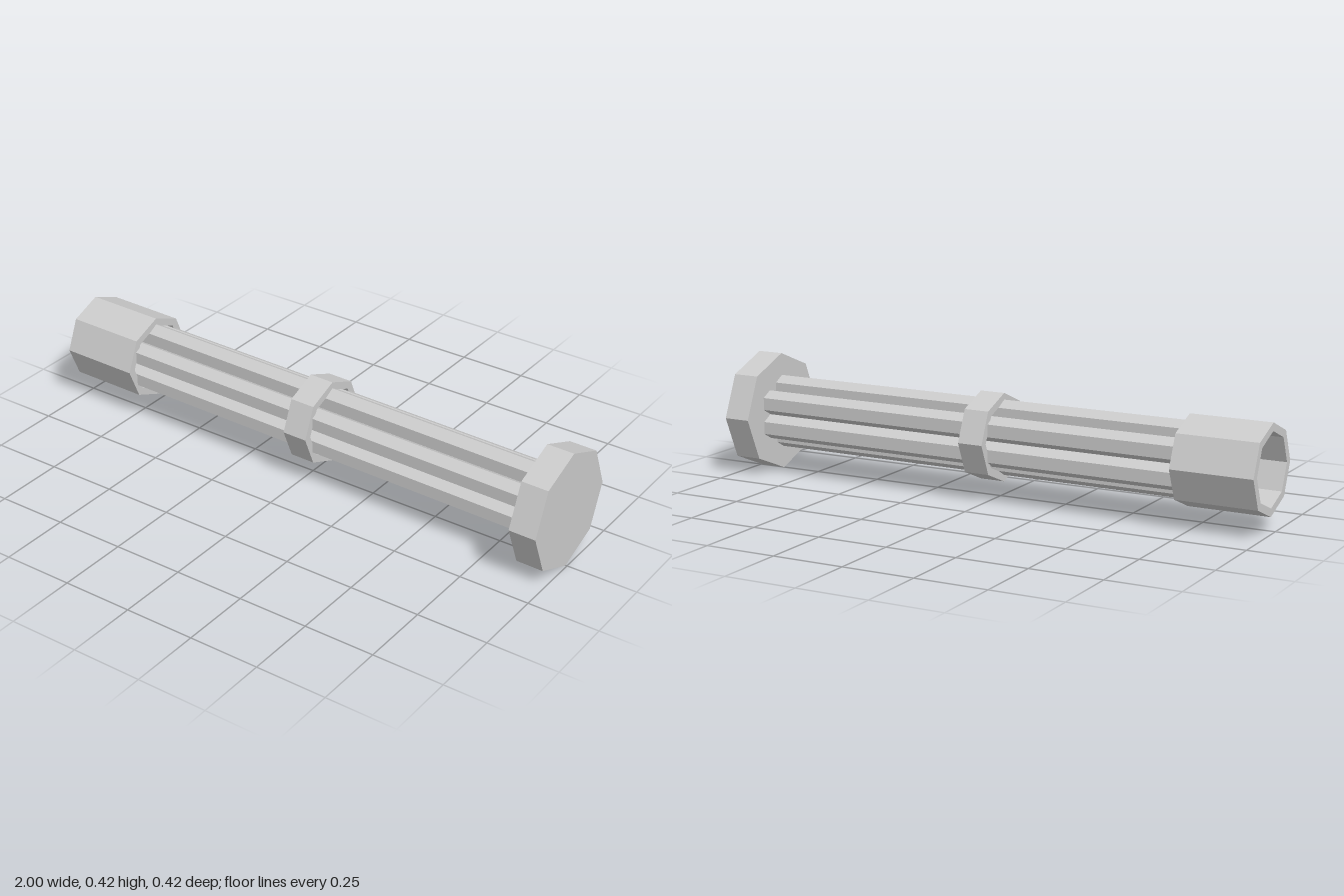
import * as THREE from 'three';

const material = new THREE.MeshStandardMaterial({ color: 0xcccccc, flatShading: true });

// Place a geometry modelled along y so that it runs along x from x0 to x1
function along(geometry, x0, x1, name) {
  geometry.rotateZ(-Math.PI / 2);
  const mesh = new THREE.Mesh(geometry, material);
  mesh.position.x = (x0 + x1) / 2;
  mesh.name = name;
  return mesh;
}

// Solid prism
function prism(name, radius, sides, x0, x1, turn = 0) {
  return along(new THREE.CylinderGeometry(radius, radius, x1 - x0, sides, 1, false, turn), x0, x1, name);
}

// Octagonal tube with a wall thickness
function tube(name, outer, inner, x0, x1) {
  const h = (x1 - x0) / 2;
  const profile = [[inner, -h], [outer, -h], [outer, h], [inner, h], [inner, -h]]
    .map(([r, y]) => new THREE.Vector2(r, y));
  return along(new THREE.LatheGeometry(profile, 8), x0, x1, name);
}

export function createModel() {
  const model = new THREE.Group();

  // Everything shares one axis, turned very slightly about y
  const shaft = new THREE.Group();
  shaft.name = 'shaft';
  shaft.position.set(0, 0.211, -0.019);
  shaft.rotation.y = -0.02;
  model.add(shaft);

  // Bundle of six hexagonal rods in a ring
  const rodRadius = 0.0437, ringRadius = 0.0875;
  for (let i = 0; i < 6; i++) {
    const a = Math.PI / 2 + i * Math.PI / 3;
    const rod = prism('rod', rodRadius, 6, -0.88, 0.91, Math.PI / 2);
    rod.position.y = ringRadius * Math.sin(a);
    rod.position.z = ringRadius * Math.cos(a);
    shaft.add(rod);
  }

  // Hollow end collar, middle band and solid end cap
  shaft.add(tube('collar', 0.154, 0.126, -0.998, -0.71));
  shaft.add(tube('middleBand', 0.154, 0.126, -0.024, 0.067));
  shaft.add(prism('endCap', 0.211, 8, 0.898, 0.995));

  return model;
}
